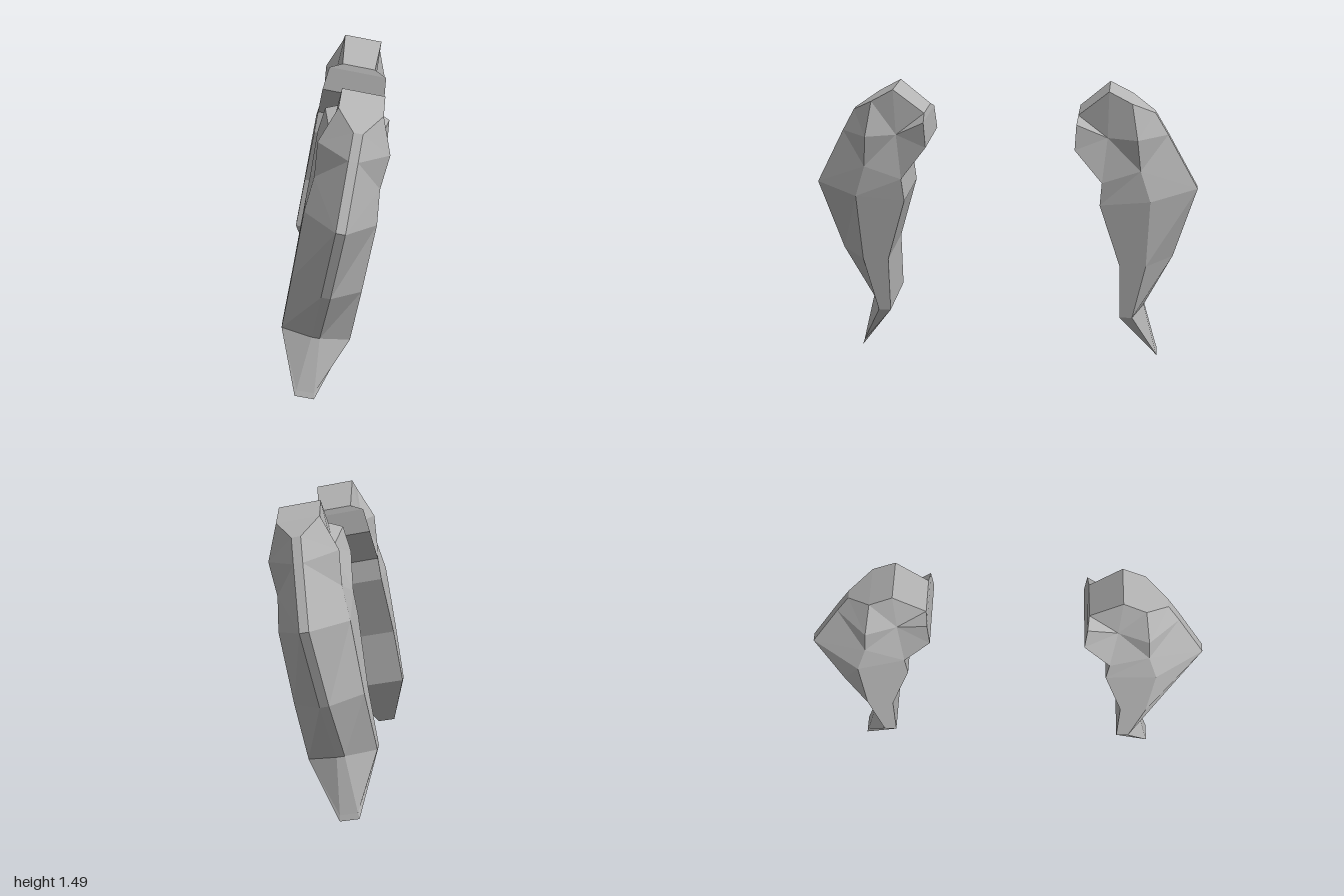
import * as THREE from 'three';

// Half-profile points: [half width, height on centre line, depth]
const P = {
  tipFront: [0.044, 0.04, 0.808], tipBack: [0.048, 0.013, 0.817],
  // front ridge
  R1: [0.02, 0.3, 0.74], R2: [0.022, 0.585, 0.885], R3: [0.022, 0.957, 1.0],
  R5: [0.022, 1.24, 0.842], R6: [0.022, 1.352, 0.775],
  // side edge
  S1: [0.17, 0.292, 0.68], S2: [0.17, 0.585, 0.745], S3: [0.172, 0.935, 0.76],
  S4: [0.155, 1.09, 0.708], S5: [0.17, 1.252, 0.69], S6: [0.105, 1.418, 0.66],
  // rear edge, with the stepped lip near the top
  B1: [0.17, 0.292, 0.615], B2: [0.17, 0.585, 0.61], B3: [0.17, 0.912, 0.505],
  B4: [0.17, 1.03, 0.515], B5: [0.172, 1.2, 0.378],
  C2: [0.157, 1.325, 0.386], C3: [0.09, 1.355, 0.392],
  apex: [0.102, 1.478, 0.545],
  dent: [0.115, 1.248, 0.54],
};

// Points joined straight across the width, from the tip up the front and down the back
const BAND = ['tipFront', 'R1', 'R2', 'R3', 'R5', 'R6', 'S6', 'apex', 'C3', 'C2',
  'B5', 'B4', 'B3', 'B2', 'B1', 'tipBack'];

// Faces of one flank, seen from +x
const FLANK = [
  ['tipFront', 'S1', 'R1'], ['tipFront', 'tipBack', 'B1', 'S1'],
  ['R1', 'S1', 'S2', 'R2'], ['R2', 'S2', 'S3', 'R3'],
  ['S1', 'B1', 'B2', 'S2'], ['S2', 'B2', 'B3', 'S3'], ['S3', 'B3', 'B4', 'S4'],
  ['R3', 'S3', 'S4'], ['R3', 'S4', 'R5'], ['R5', 'S4', 'S5'], ['R5', 'S5', 'R6'], ['R6', 'S5', 'S6'],
];
// Fan of faces around the dent in the flank
const FAN = ['S4', 'B4', 'B5', 'C2', 'C3', 'apex', 'S6', 'S5'];
FAN.forEach((p, i) => FLANK.push(['dent', p, FAN[(i + 1) % FAN.length]]));

const LEAN = 0.19;

// Places a profile point on the leaning centre line
function place(name, side, zSign) {
  const [w, v, z] = P[name];
  const u = w * side;
  return [LEAN * (v - 0.78) + 0.983 * u, v - LEAN * u, z * zSign];
}

function hornGeometry(zSign) {
  const pos = [];
  const addFace = (pts, flip) => {
    const c = flip ? [...pts].reverse() : pts;
    for (let i = 1; i < c.length - 1; i++) pos.push(...c[0], ...c[i], ...c[i + 1]);
  };
  // Two mirrored flanks
  for (const side of [1, -1])
    for (const face of FLANK)
      addFace(face.map((n) => place(n, side, zSign)), side * zSign < 0);
  // Band across the width, closed at the tip
  BAND.forEach((a, i) => {
    const b = BAND[(i + 1) % BAND.length];
    addFace([place(a, 1, zSign), place(b, 1, zSign), place(b, -1, zSign), place(a, -1, zSign)], zSign < 0);
  });
  const g = new THREE.BufferGeometry();
  g.setAttribute('position', new THREE.Float32BufferAttribute(pos, 3));
  g.computeVertexNormals();
  return g;
}

export function createModel() {
  const group = new THREE.Group();
  const grey = new THREE.MeshStandardMaterial({ color: 0xb4b4b4, flatShading: true });
  grey.name = 'grey';
  // A facing pair of curved, pointed pieces
  for (const [name, zSign] of [['frontHorn', 1], ['backHorn', -1]]) {
    const mesh = new THREE.Mesh(hornGeometry(zSign), grey);
    mesh.name = name;
    group.add(mesh);
  }
  return group;
}
